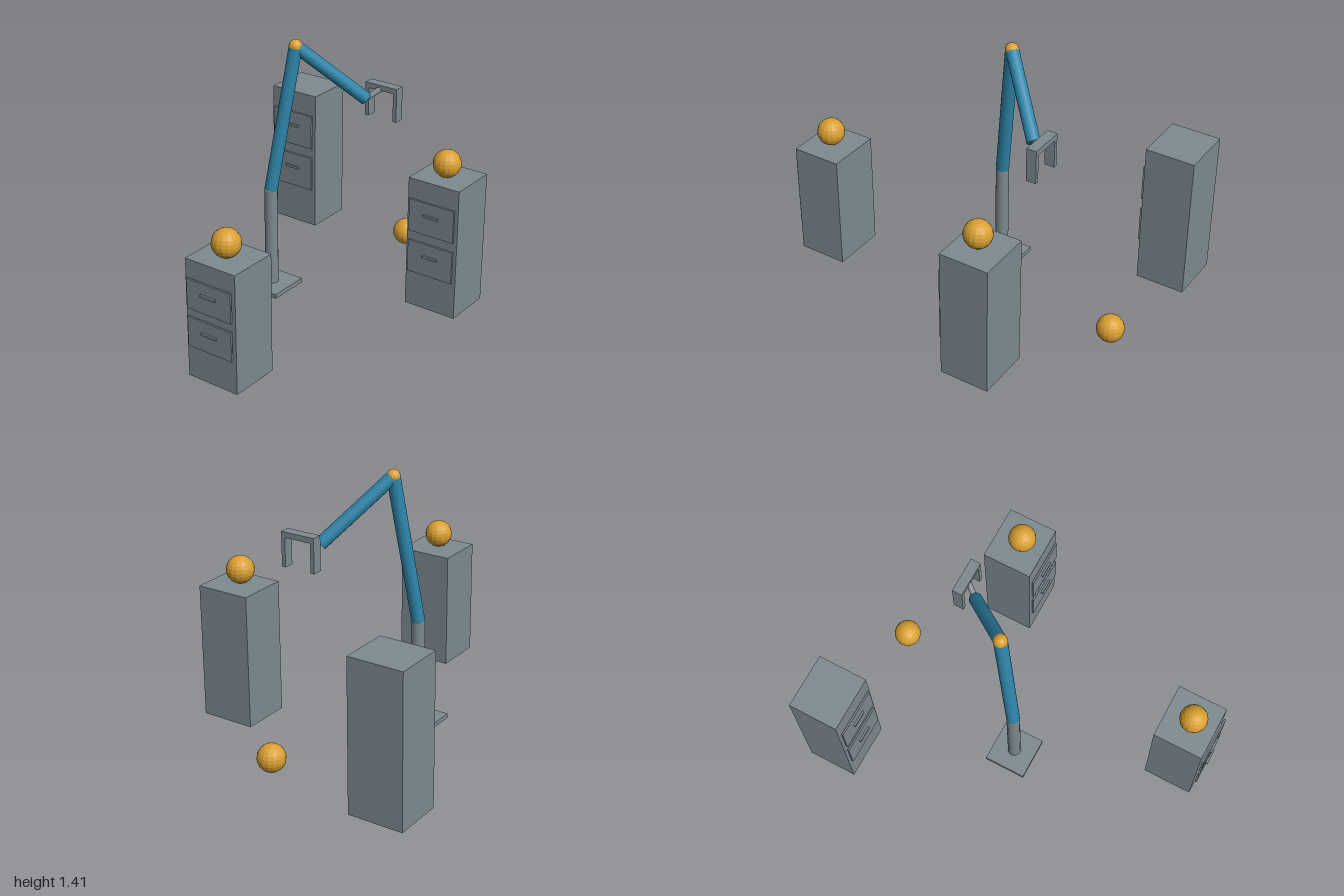
import * as THREE from 'three';

export function createModel() {
  const model = new THREE.Group();
  model.name = 'robotArmWorkcell';

  const mat = (name, color, flatShading = false) => {
    const m = new THREE.MeshStandardMaterial({ color, flatShading });
    m.name = name;
    return m;
  };
  const grey = mat('steelGrey', 0x7d8a90);
  const blue = mat('armBlue', 0x2e86ab);
  const gold = mat('gold', 0xd9a032, true);

  const add = (parent, name, geometry, material, x, y, z) => {
    const mesh = new THREE.Mesh(geometry, material);
    mesh.name = name;
    mesh.position.set(x, y, z);
    parent.add(mesh);
    return mesh;
  };
  const box = (parent, name, w, h, d, x, y, z) =>
    add(parent, name, new THREE.BoxGeometry(w, h, d), grey, x, y, z);
  const ball = (parent, name, r, x, y, z) =>
    add(parent, name, new THREE.SphereGeometry(r, 16, 12), gold, x, y, z);

  // Cylinder running between two points
  const rod = (parent, name, a, b, r, material) => {
    const dir = b.clone().sub(a);
    const mid = a.clone().add(b).multiplyScalar(0.5);
    const mesh = add(parent, name, new THREE.CylinderGeometry(r, r, dir.length(), 16), material, mid.x, mid.y, mid.z);
    mesh.quaternion.setFromUnitVectors(new THREE.Vector3(0, 1, 0), dir.normalize());
    return mesh;
  };

  // Two-drawer cabinets; drawer positions scale with the height
  const cabinet = (name, x, z, h) => {
    const g = new THREE.Group();
    g.name = name;
    g.position.set(x, 0, z);
    box(g, 'cabinetBody', 0.304, h, 0.276, 0, h / 2, 0);
    [0.406, 0.727].forEach((f) => {
      box(g, 'drawerFront', 0.27, h * 0.248, 0.01, 0, h * f, 0.149);
      box(g, 'drawerHandle', 0.09, h * 0.018, 0.011, 0, h * (f + 0.025), 0.1595);
    });
    model.add(g);
  };
  cabinet('tallCabinet', -0.621, -0.862, 0.82);
  cabinet('frontCabinet', 0.166, 0.835, 0.65);
  cabinet('sideCabinet', 0.617, -0.411, 0.737);

  // Balls: two on cabinets, one on the floor
  ball(model, 'frontBall', 0.075, 0.166, 0.725, 0.846);
  ball(model, 'sideBall', 0.075, 0.617, 0.812, -0.397);
  ball(model, 'floorBall', 0.075, 0.085, 0.075, -0.862);

  // Robot arm
  const arm = new THREE.Group();
  arm.name = 'robotArm';
  model.add(arm);
  const foot = new THREE.Vector3(-0.228, 0.02, 0);
  const shoulder = new THREE.Vector3(-0.228, 0.577, 0);
  const elbow = new THREE.Vector3(-0.14, 1.372, -0.105);
  const wrist = new THREE.Vector3(0.107, 1.053, -0.39);
  const hand = new THREE.Vector3(0.166, 1.108, -0.47);
  box(arm, 'basePlate', 0.234, 0.025, 0.234, -0.228, 0.0125, 0);
  rod(arm, 'column', foot, shoulder, 0.036, grey);
  rod(arm, 'upperArm', shoulder, elbow, 0.036, blue);
  rod(arm, 'forearm', elbow, wrist, 0.035, blue);
  rod(arm, 'wristRod', wrist, hand, 0.015, grey);
  ball(arm, 'shoulderJoint', 0.036, ...shoulder.toArray());
  ball(arm, 'elbowJoint', 0.037, ...elbow.toArray());

  // Gripper: crossbar with two hanging fingers
  box(arm, 'gripperBar', 0.197, 0.03, 0.056, 0.166, 1.107, -0.472);
  for (const s of [-1, 1]) {
    box(arm, 'gripperFinger', 0.022, 0.158, 0.056, 0.166 + s * 0.0875, 1.014, -0.472);
  }

  return model;
}
